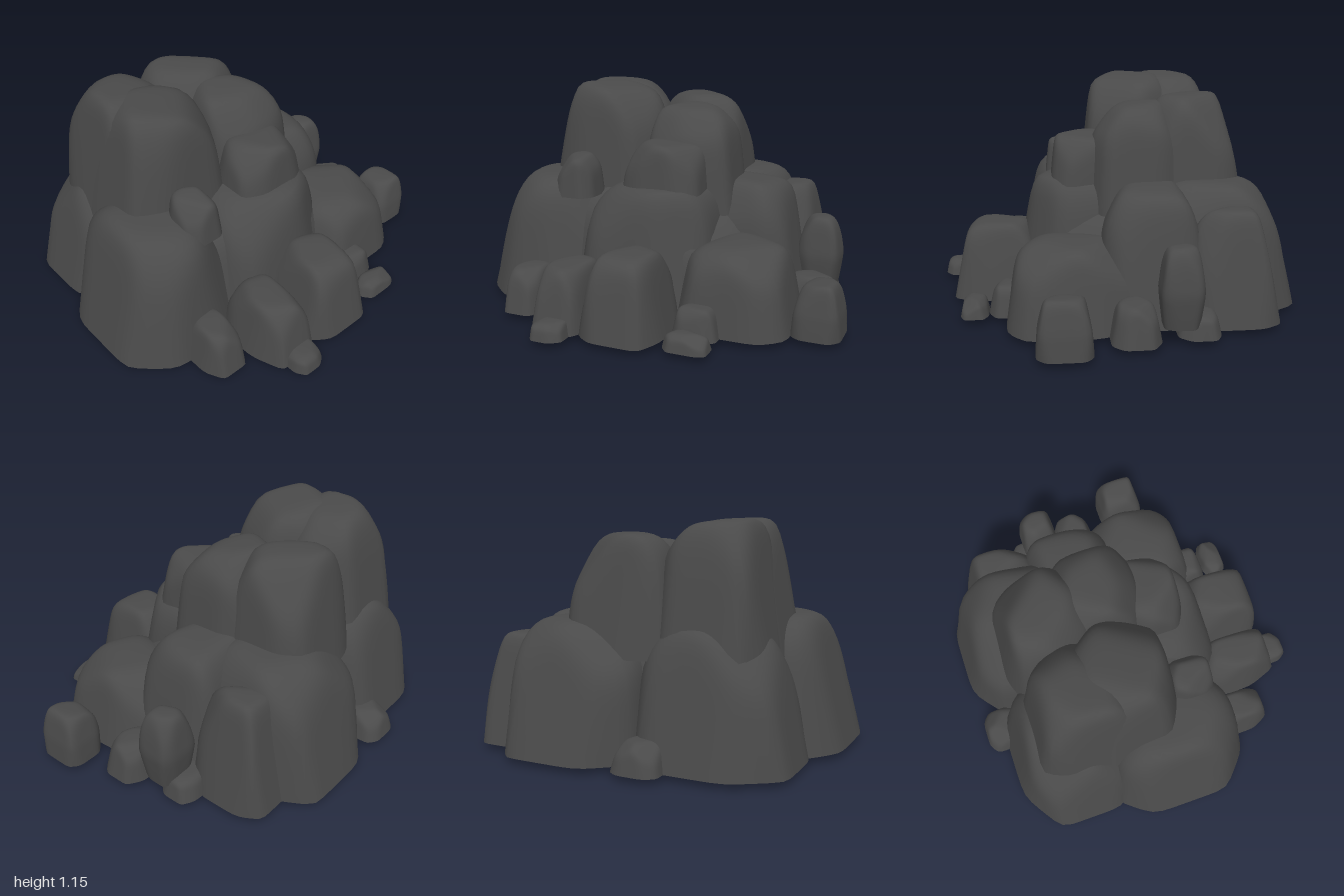
import * as THREE from 'three';
import { mergeGeometries, mergeVertices } from 'three/addons/utils/BufferGeometryUtils.js';

const stone = new THREE.MeshStandardMaterial({ color: 0x4a4a4a });
stone.name = 'dark stone';

// Small seeded generator so each boulder gets its own chips
function seeded(seed) {
  let s = seed * 7919 + 17;
  const next = () => (s = (s * 16807) % 2147483647) / 2147483647;
  for (let i = 0; i < 5; i++) next();
  return next;
}

// Soft cutting planes [a, b, c, d] (ax + by + cz = d) in a unit box: leaning sides, tilted top, chipped corners
function chisel(rand, [left, right, back, front], [tiltX, tiltZ]) {
  const planes = [
    [-1, left, 0, 1], [1, right, 0, 1], [0, back, -1, 1], [0, front, 1, 1],
    [tiltX, 1, tiltZ, 1],
  ];
  for (const sx of [-1, 1]) {
    for (const sz of [-1, 1]) {
      const turn = 0.5 + 0.5 * rand();
      planes.push([sx * turn, 0.15 + 0.2 * rand(), sz * (1.5 - turn), 1.12 + 0.14 * rand()]);
      planes.push([sx * 0.6 * rand(), 1, sz * 0.6 * rand(), 1.22 + 0.15 * rand()]);
    }
  }
  for (let i = 0; i < 4; i++) {
    const a = (i + 0.6 * rand()) * Math.PI / 2;
    planes.push([Math.cos(a), 1.1, Math.sin(a), 1.6 + 0.2 * rand()]);
  }
  return planes;
}

// A dome and its flat base, pushed onto the planes; undercut narrows the foot
function carve(planes, undercut) {
  const v = new THREE.Vector3();
  const dome = new THREE.SphereGeometry(1, 48, 20, 0, Math.PI * 2, 0, Math.PI / 2);
  const base = new THREE.CircleGeometry(1, 48).rotateX(Math.PI / 2);
  return mergeGeometries([dome, base].map((geometry) => {
    geometry.deleteAttribute('uv');
    geometry.deleteAttribute('normal');
    const p = geometry.attributes.position;
    for (let i = 0; i < p.count; i++) {
      v.fromBufferAttribute(p, i);
      if (v.length() > 0.5) {
        v.normalize();
        const sum = planes.reduce((t, [a, b, c, d]) => t + Math.max(0, (a * v.x + b * v.y + c * v.z) / d) ** 22, 0);
        v.multiplyScalar(sum ** (-1 / 22));
        const pinch = 1 - undercut * Math.max(0, 1 - v.y / 0.45);
        p.setXYZ(i, v.x * pinch, Math.max(0, v.y), v.z * pinch);
      }
    }
    return mergeVertices(geometry, 1e-5);
  }));
}

// Returns a function that adds boulders standing at height y0. Every side leans in by
// "lean" per unit of height, plus "outward" times its distance out from the middle of the pile.
function tier(group, y0, lean, outward) {
  return (name, [x0, x1], [z0, z1], y1, tilt = [0, 0], undercut = 0) => {
    const h = y1 - y0, w = (x1 - x0) / 2, d = (z1 - z0) / 2;
    const inset = (out) => h * (lean + outward * Math.max(0, out));
    const insets = [inset(-x0) / w, inset(x1) / w, inset(-z0) / d, inset(z1) / d];
    const planes = chisel(seeded(group.children.length + 1), insets, tilt);
    const geometry = carve(planes, undercut).scale(w, h, d).translate(x0 + w, y0, z0 + d);
    geometry.computeVertexNormals();
    const mesh = new THREE.Mesh(geometry, stone);
    mesh.name = name;
    group.add(mesh);
  };
}

export function createModel() {
  const group = new THREE.Group();
  group.name = 'rockPile';
  const ground = 0.03;

  // Big lower boulders around a filling core
  const lower = tier(group, ground, 0.02, 0.24);
  lower('core', [-0.75, 0.5], [-0.68, 0.42], 0.63);
  lower('lowerLeftBoulder', [-1, -0.3], [-0.33, 0.46], 0.68);
  lower('lowerFrontBoulder', [-0.43, 0.33], [-0.3, 0.5], 0.67);
  lower('lowerFrontRightBoulder', [0.15, 0.75], [-0.1, 0.55], 0.43);
  lower('lowerRightBoulder', [0.05, 0.68], [-0.45, 0.1], 0.67, [0.03, 0]);
  lower('lowerBackBoulder', [-0.2, 0.56], [-0.92, -0.15], 0.67);
  lower('lowerBackLeftBoulder', [-0.9, -0.1], [-0.81, -0.1], 0.67);
  lower('lowerBackRightBoulder', [0.3, 0.71], [-0.78, -0.35], 0.58);

  // Summit
  const upper = tier(group, 0.5, 0.07, 0.15);
  upper('upperFrontLeftBoulder', [-0.75, -0.1], [-0.45, 0.13], 1.14, [0.07, 0.03]);
  upper('upperFrontRightBoulder', [-0.2, 0.33], [-0.38, 0.14], 1.04, [0, 0.04]);
  upper('upperBackRightBoulder', [-0.3, 0.29], [-0.69, -0.15], 1.08);
  upper('upperBackLeftBoulder', [-0.75, -0.15], [-0.66, -0.1], 1.14, [0.04, 0]);

  // Rocks on the front ledge
  const ledge = tier(group, 0.58, 0.1, 0);
  ledge('ledgeRock', [-0.21, 0.22], [-0.05, 0.32], 0.88, [0.06, 0]);
  ledge('ledgePebble', [-0.59, -0.36], [0.08, 0.33], 0.79, [-0.05, 0.08]);

  // Rocks and pebbles around the foot
  const foot = tier(group, ground, 0.2, 0);
  foot('footRockLeft', [-0.73, -0.49], [0.3, 0.66], 0.25);
  foot('footRockMidLeft', [-0.49, -0.17], [0.35, 0.81], 0.33);
  foot('footRockCentre', [-0.2, 0.21], [0.35, 0.83], 0.42);
  foot('footRockRight', [0.22, 0.45], [0.42, 0.64], 0.18);
  foot('footPebbleLeft', [-0.4, -0.22], [0.72, 0.91], 0.11);
  foot('footPebbleRight', [0.23, 0.46], [0.64, 0.78], 0.11);
  foot('outerRock', [0.73, 1], [0.14, 0.43], 0.29, [-0.06, 0], 0.1);
  foot('sideRock', [0.6, 0.89], [-0.17, 0.07], 0.21);
  foot('sidePebble', [0.55, 0.82], [-0.46, -0.25], 0.14);
  foot('backPebble', [-0.38, -0.14], [-0.91, -0.65], 0.17);

  // Upright rock wedged above the right foot, and a low chip under the front edge
  tier(group, 0.09, 0.12, 0)('standingRock', [0.6, 0.87], [-0.39, -0.14], 0.47, [0, 0], 0.3);
  tier(group, 0, 0.2, 0)('groundChip', [-0.4, -0.12], [0.38, 0.56], 0.06, [0, 0], 0.3);
  return group;
}
